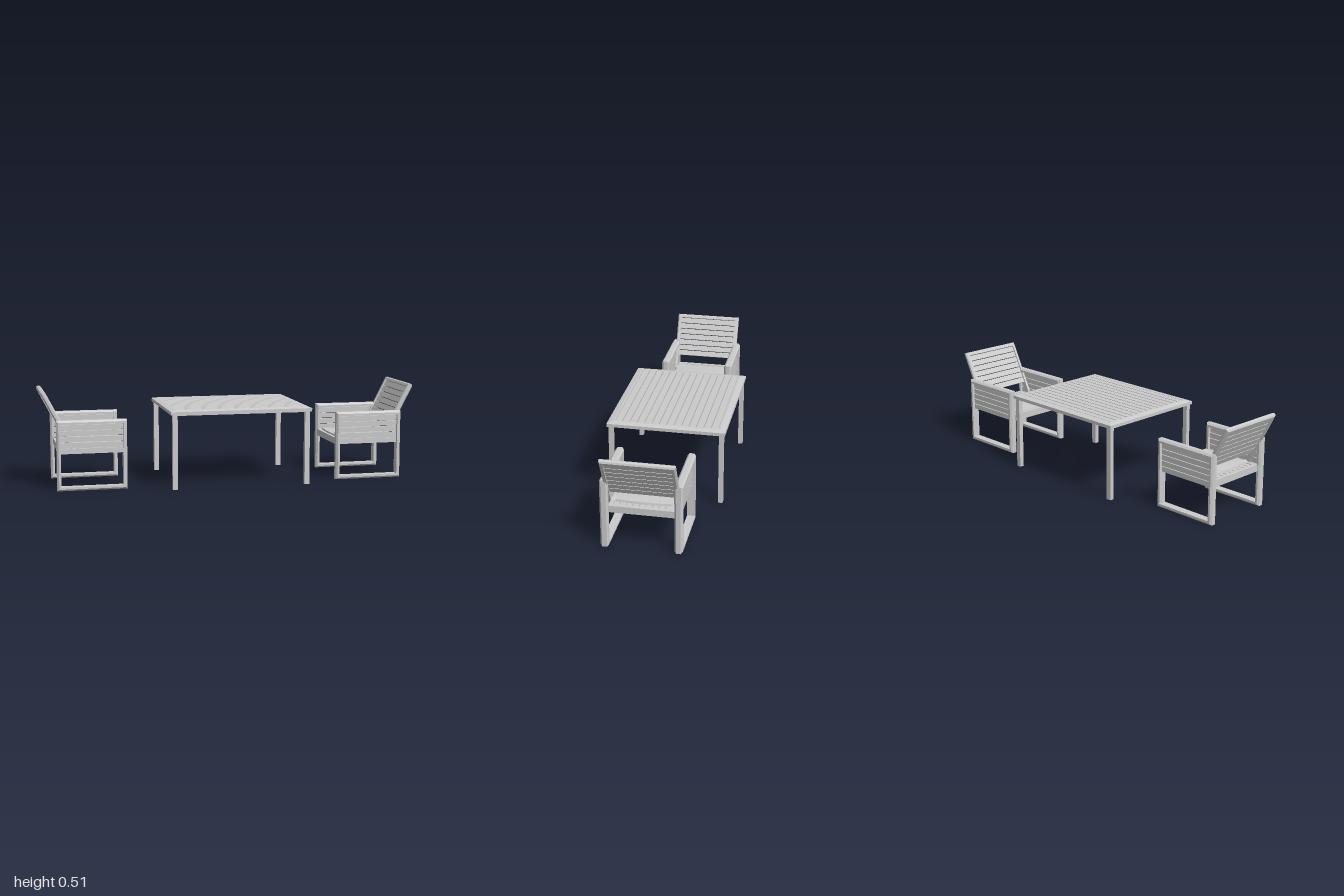
import * as THREE from 'three';

const material = new THREE.MeshStandardMaterial({ color: 0xcccccc });

function add(parent, name, geometry, x = 0, y = 0, z = 0) {
  const mesh = new THREE.Mesh(geometry, material);
  mesh.name = name;
  mesh.position.set(x, y, z);
  parent.add(mesh);
  return mesh;
}
const box = (w, h, d) => new THREE.BoxGeometry(w, h, d);

// Mitred rectangular frame in the XY plane; profile points are [inset, depth]
function frame(w, h, profile) {
  const corners = [[1, -1], [1, 1], [-1, 1], [-1, -1]];
  const n = profile.length;
  const positions = [], index = [];
  for (const [sx, sy] of corners)
    for (const [inset, depth] of profile)
      positions.push(sx * (w / 2 - inset), sy * (h / 2 - inset), depth);
  for (let i = 0; i < 4; i++) {
    for (let j = 0; j < n; j++) {
      const next = ((i + 1) % 4) * n, k = (j + 1) % n;
      const a = i * n + j, b = next + j, c = next + k, d = i * n + k;
      index.push(a, b, c, a, c, d);
    }
  }
  const indexed = new THREE.BufferGeometry();
  indexed.setAttribute('position', new THREE.Float32BufferAttribute(positions, 3));
  indexed.setIndex(index);
  const geometry = indexed.toNonIndexed();
  geometry.computeVertexNormals();
  return geometry;
}

// Bar section with its two outer edges chamfered
function chamfered(width, depth, c) {
  const d = depth / 2;
  return [[c, -d], [0, -d + c], [0, d - c], [c, d], [width, d], [width, -d]];
}

// Seat pad with a low dome and softened corners
function padGeometry(w, d) {
  const geometry = new THREE.BoxGeometry(w, 1, d, 12, 1, 12);
  const p = geometry.attributes.position;
  for (let i = 0; i < p.count; i++) {
    const u = p.getX(i) / (w / 2), v = p.getZ(i) / (d / 2);
    const top = p.getY(i) > 0;
    const pinch = 1 - 0.05 * u * u * v * v - (top ? 0.02 : 0);
    const dome = 0.008 + 0.007 * (1 - u * u) * (1 - v * v);
    p.setXYZ(i, p.getX(i) * pinch, top ? dome : -0.004, p.getZ(i) * pinch);
  }
  geometry.computeVertexNormals();
  return geometry;
}

// Armchair facing +x
function createChair() {
  const chair = new THREE.Group();
  chair.name = 'chair';

  // Side loops forming legs, floor runner and armrest, filled with slats
  for (const side of [1, -1]) {
    const z = side * 0.1825;
    add(chair, 'sideFrame', frame(0.362, 0.363, chamfered(0.02, 0.042, 0.009)), 0, 0.1815, z);
    for (let i = 0; i < 5; i++)
      add(chair, 'sideSlat', box(0.326, 0.027, 0.012), 0, 0.2035 + i * 0.0306, z);
  }

  // Seat frame, slats and pad
  const seat = frame(0.345, 0.326, [[0, 0.187], [0, 0.222], [0.02, 0.222], [0.02, 0.187]]);
  add(chair, 'seatFrame', seat.rotateX(-Math.PI / 2), 0.005);
  for (let i = 0; i < 9; i++)
    add(chair, 'seatSlat', box(0.31, 0.014, 0.028), 0.005, 0.212, (i - 4) * 0.032);
  add(chair, 'seatPad', padGeometry(0.285, 0.295), 0.022, 0.222, 0);

  // Reclined back: origin at its top edge
  const back = new THREE.Group();
  back.name = 'back';
  back.position.set(-0.244, 0.503, 0);
  back.rotation.z = 0.48;
  const length = 0.335;
  const backFrame = frame(0.366, length, chamfered(0.02, 0.026, 0.007));
  add(back, 'backFrame', backFrame.rotateY(Math.PI / 2), 0, -length / 2, 0);
  for (let i = 0; i < 7; i++)
    add(back, 'backSlat', box(0.012, 0.029, 0.335), 0, -0.037 - i * 0.0325, 0);
  chair.add(back);
  return chair;
}

function createTable() {
  const table = new THREE.Group();
  table.name = 'table';

  // Sloped rim and the shallow apron below it
  const rim = frame(0.748, 0.614, [[0, 0.387], [0, 0.404], [0.028, 0.41], [0.038, 0.41], [0.038, 0.387]]);
  add(table, 'tableRim', rim.rotateX(-Math.PI / 2));
  const apron = frame(0.728, 0.594, [[0, 0.383], [0, 0.39], [0.023, 0.39], [0.023, 0.383]]);
  add(table, 'apron', apron.rotateX(-Math.PI / 2));

  // Top slats with narrow gaps
  const count = 14, pitch = 0.0384;
  for (let i = 0; i < count; i++)
    add(table, 'tableSlat', box(0.68, 0.016, pitch - 0.005), 0, 0.402, (i - (count - 1) / 2) * pitch);

  for (const sx of [1, -1])
    for (const sz of [1, -1])
      add(table, 'tableLeg', box(0.026, 0.39, 0.024), sx * 0.352, 0.195, sz * 0.287);
  return table;
}

export function createModel() {
  const model = new THREE.Group();
  model.name = 'diningSet';

  const table = createTable();
  table.position.x = 0.024;
  model.add(table);

  // Two chairs facing each other across the table
  for (const side of [-1, 1]) {
    const chair = createChair();
    chair.position.set(side * 0.744, 0, 0.0125);
    if (side > 0) chair.rotation.y = Math.PI;
    model.add(chair);
  }
  return model;
}
